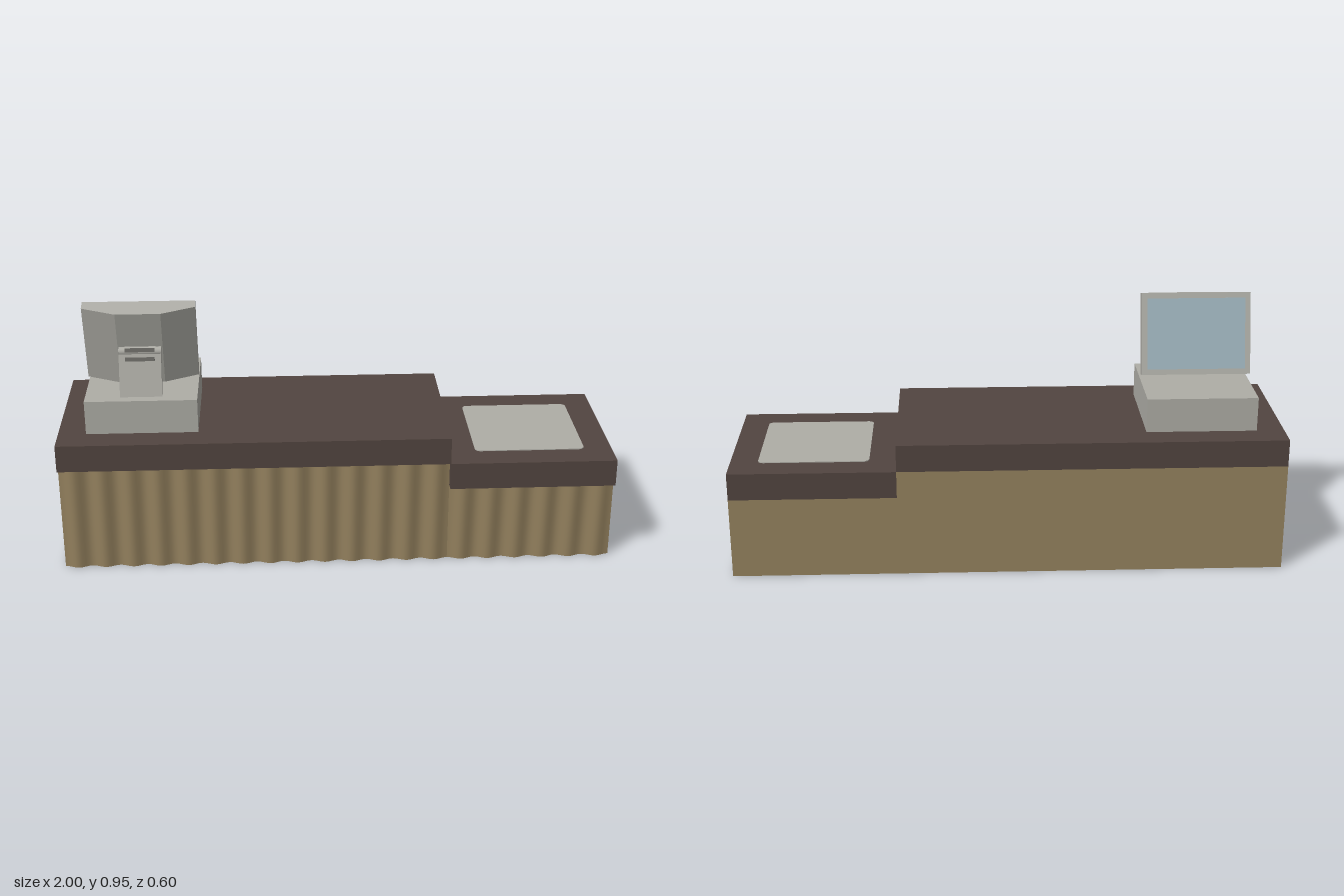
import * as THREE from 'three';

const mat = (name, color, side = THREE.FrontSide) => {
  const m = new THREE.MeshStandardMaterial({ color, side });
  m.name = name;
  return m;
};

export function createModel() {
  const wood = mat('tan wood', 0x95825f, THREE.DoubleSide);
  const top = mat('dark brown worktop', 0x524540);
  const grey = mat('warm grey plastic', 0xaeada6);
  const glass = mat('pale blue screen', 0x9db2bc);
  const dark = mat('slot grey', 0x6a6964);

  const model = new THREE.Group();
  model.name = 'checkoutCounter';

  const add = (parent, name, geo, material, x = 0, y = 0, z = 0) => {
    const mesh = new THREE.Mesh(geo, material);
    mesh.name = name;
    mesh.position.set(x, y, z);
    parent.add(mesh);
    return mesh;
  };
  const box = (parent, name, w, h, d, material, x, y, z) =>
    add(parent, name, new THREE.BoxGeometry(w, h, d), material, x, y, z);

  // One counter section: slab on hollow walls, open underneath
  const zBack = -0.3, zFront = 0.265;
  function section(name, x0, x1, h) {
    const g = new THREE.Group();
    g.name = name;
    const w = x1 - x0, xm = (x0 + x1) / 2;
    box(g, 'worktop', w, 0.1, 0.6, top, xm, h + 0.05, 0);
    add(g, 'backPanel', new THREE.PlaneGeometry(w, h), wood, xm, h / 2, zBack).rotation.y = Math.PI;

    // Front panel with rounded ribs every 0.1
    const ribs = Math.round(w / 0.1);
    const front = new THREE.PlaneGeometry(w, h, ribs * 8, 1);
    const p = front.attributes.position;
    for (let i = 0; i < p.count; i++) {
      const t = (p.getX(i) / w + 0.5) * ribs;
      p.setZ(i, 0.015 * Math.sin(Math.PI * t) ** 2);
    }
    front.computeVertexNormals();
    add(g, 'ribbedFrontPanel', front, wood, xm, h / 2, zFront);
    model.add(g);
    return g;
  }
  const endPanel = (parent, name, x, h, dir) => {
    const m = add(parent, name, new THREE.PlaneGeometry(zFront - zBack, h), wood, x, h / 2, (zFront + zBack) / 2);
    m.rotation.y = dir * Math.PI / 2;
  };
  const high = section('highCounter', -1, 0.4, 0.4);
  endPanel(high, 'rightEndPanel', -1, 0.4, -1);
  endPanel(high, 'dividerPanel', 0.399, 0.4, 1);
  const low = section('lowCounter', 0.4, 1, 0.3);
  endPanel(low, 'leftEndPanel', 1, 0.3, 1);

  // Flat pad with rounded corners on the low counter
  const r = 0.02, s = 0.2;
  const pad = new THREE.Shape();
  [[s - r, -s + r, -0.5], [s - r, s - r, 0], [-s + r, s - r, 0.5], [-s + r, -s + r, 1]].forEach(
    ([x, y, a]) => pad.absarc(x, y, r, a * Math.PI, (a + 0.5) * Math.PI, false));
  pad.closePath();
  const padGeo = new THREE.ExtrudeGeometry(pad, { depth: 0.003, bevelEnabled: false, curveSegments: 4 });
  padGeo.rotateX(-Math.PI / 2);
  add(low, 'scalePad', padGeo, grey, 0.7, 0.4, 0);

  // Till: base, stand and tilted monitor
  const till = new THREE.Group();
  till.name = 'till';
  till.position.set(-0.7, 0.5, 0);
  model.add(till);
  box(till, 'tillBase', 0.4, 0.125, 0.4, grey, 0, 0.0625, 0);

  const tilt = THREE.MathUtils.degToRad(14.8);
  const monitor = new THREE.Group();
  monitor.name = 'monitor';
  monitor.position.set(0, 0.291, 0.053);
  monitor.rotation.x = tilt;
  till.add(monitor);
  // Casing plan: flat screen half, tapered rear half (shape y becomes -z)
  const plan = new THREE.Shape(
    [[-0.2, 0.04], [-0.2, 0], [-0.08, -0.04], [0.08, -0.04], [0.2, 0], [0.2, 0.04]]
      .map(([x, y]) => new THREE.Vector2(x, y)));
  const casing = new THREE.ExtrudeGeometry(plan, { depth: 0.3, bevelEnabled: false });
  casing.rotateX(-Math.PI / 2).translate(0, -0.15, 0);
  add(monitor, 'monitorCasing', casing, grey);
  box(monitor, 'screen', 0.36, 0.26, 0.004, glass, 0, 0, -0.041);

  // Leaning stand, hinge barrel and slots
  const stand = new THREE.Group();
  stand.name = 'stand';
  stand.position.set(0, 0.122, 0.152);
  stand.rotation.x = -tilt;
  till.add(stand);
  box(stand, 'standPlate', 0.15, 0.165, 0.025, grey, 0, 0.08, 0);
  const barrel = new THREE.CylinderGeometry(0.016, 0.016, 0.15, 12).rotateZ(Math.PI / 2);
  add(stand, 'hingeBarrel', barrel, grey, 0, 0.163, 0);
  for (const y of [0.135, 0.168]) box(stand, 'slot', 0.105, 0.014, 0.006, dark, 0, y, y > 0.15 ? 0.0145 : 0.011);
  box(till, 'hingeBlock', 0.11, 0.022, 0.04, grey, 0, 0.28, 0.1);

  return model;
}
